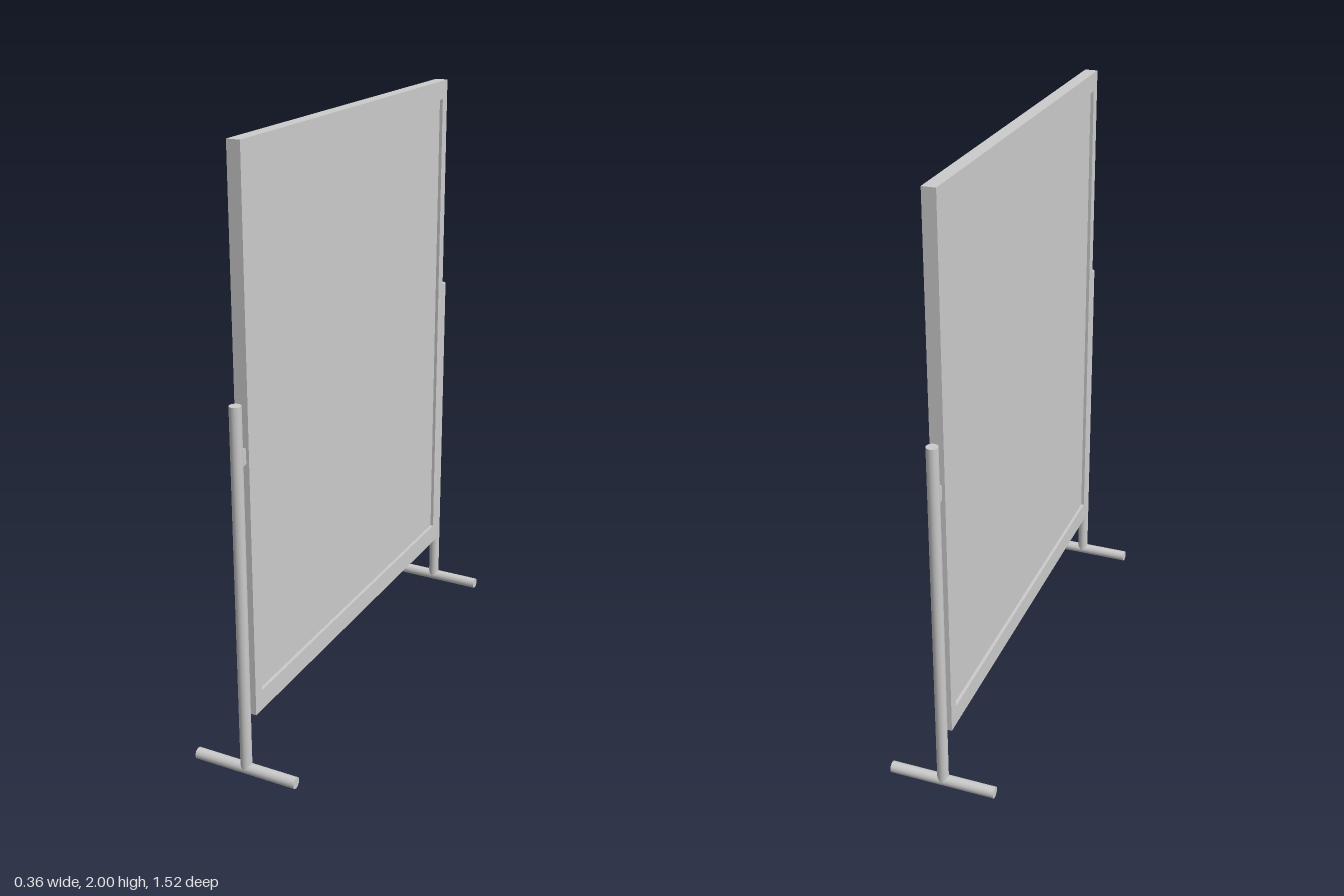
import * as THREE from 'three';

const material = new THREE.MeshStandardMaterial({ color: 0xcccccc });

function addMesh(parent, name, geometry, x = 0, y = 0, z = 0) {
  const mesh = new THREE.Mesh(geometry, material);
  mesh.name = name;
  mesh.position.set(x, y, z);
  parent.add(mesh);
  return mesh;
}

function rectangle(PathType, z, y0, y1) {
  return new PathType([
    new THREE.Vector2(-z, y0), new THREE.Vector2(z, y0),
    new THREE.Vector2(z, y1), new THREE.Vector2(-z, y1),
  ]);
}

// Upright post, cross foot and pivot knob for one end of the board
function createStand(side) {
  const stand = new THREE.Group();
  stand.name = side > 0 ? 'frontStand' : 'backStand';
  const tube = 0.019;
  const z = side * 0.74;

  addMesh(stand, 'post', new THREE.CylinderGeometry(tube, tube, 1.225, 24), 0, 0.02 + 1.225 / 2, z);

  const foot = addMesh(stand, 'foot', new THREE.CylinderGeometry(tube, tube, 0.36, 24), 0, tube, z);
  foot.rotation.z = Math.PI / 2;

  const knob = addMesh(stand, 'pivotKnob', new THREE.CylinderGeometry(0.027, 0.027, 0.025, 24), 0, 1.08, side * 0.72);
  knob.rotation.z = Math.PI / 2;
  return stand;
}

export function createModel() {
  const model = new THREE.Group();
  model.name = 'pivotingBoard';

  // Rectangular frame, extruded across the board's thickness
  const thickness = 0.044;
  const outline = rectangle(THREE.Shape, 0.708, 0.2, 2);
  outline.holes.push(rectangle(THREE.Path, 0.67, 0.27, 1.936));
  const frame = new THREE.ExtrudeGeometry(outline, { depth: thickness, bevelEnabled: false });
  frame.translate(0, 0, -thickness / 2);
  frame.rotateY(Math.PI / 2);
  addMesh(model, 'frame', frame);

  // Panel recessed on both sides
  addMesh(model, 'panel', new THREE.BoxGeometry(0.022, 1.67, 1.344), 0, 1.103, 0);

  for (const side of [1, -1]) model.add(createStand(side));
  return model;
}
